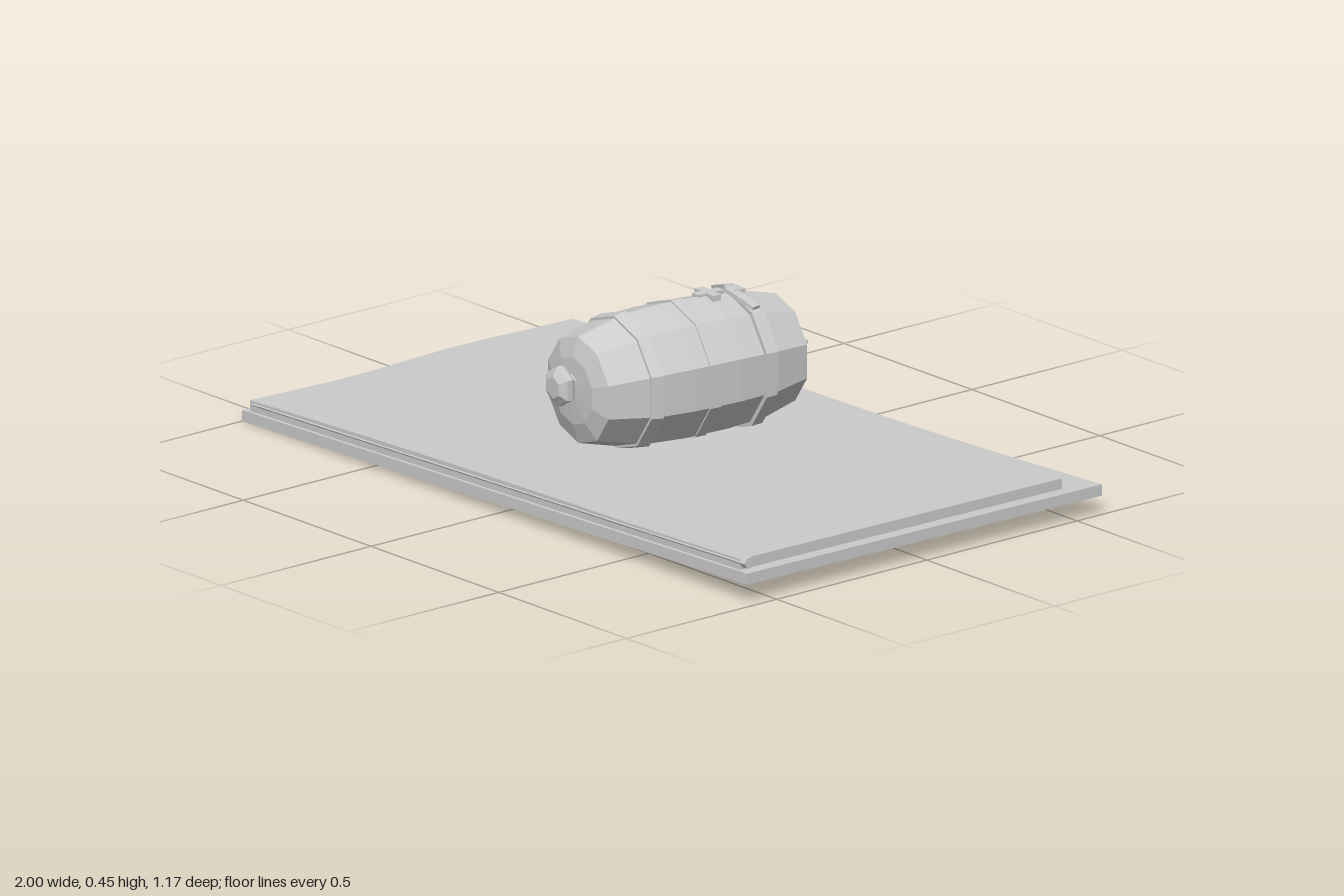
import * as THREE from 'three';

const material = new THREE.MeshStandardMaterial({ color: 0xcccccc, flatShading: true });
material.name = 'plain grey';

function add(parent, geometry, name, x = 0, y = 0, z = 0) {
  const mesh = new THREE.Mesh(geometry, material);
  mesh.name = name;
  mesh.position.set(x, y, z);
  parent.add(mesh);
  return mesh;
}

// Sloping slab with softly wandering edges; rule(x, z) lifts its top
function slab(x0, x1, z0, z1, base, thick, edge, rule) {
  const geometry = new THREE.BoxGeometry(1, 1, 1, 12, 1, 8);
  const p = geometry.attributes.position;
  for (let i = 0; i < p.count; i++) {
    const u = p.getX(i) + 0.5, v = p.getZ(i) + 0.5;
    let x = THREE.MathUtils.lerp(x0, x1, u);
    let z = THREE.MathUtils.lerp(z0, z1, v);
    if (u < 0.01) x += edge * (0.5 + 0.5 * Math.cos(v * 9));
    if (u > 0.99) x -= edge * v;
    if (v < 0.01) z += edge * (0.5 - 0.5 * Math.cos((u - 0.15) * 6));
    const top = p.getY(i) > 0;
    const y = 0.025 + 0.025 * x + base + (top ? thick + rule(x, z) : 0);
    p.setXYZ(i, x, Math.max(0, y), z);
  }
  return geometry;
}

// Ten-sided turned shape along z from [radius, z] pairs
function turned(pairs, sides = 10) {
  const points = pairs.map(([r, z]) => new THREE.Vector2(r, z));
  return new THREE.LatheGeometry(points, sides).rotateX(Math.PI / 2);
}

const profile = [[0, -0.335], [0.09, -0.327], [0.145, -0.305], [0.172, -0.2], [0.181, -0.08],
  [0.182, 0.06], [0.176, 0.17], [0.142, 0.305], [0.09, 0.322], [0, 0.328]];

function radiusAt(z) {
  const i = profile.findIndex((q) => q[1] > z);
  const [a, b] = [profile[i - 1], profile[i]];
  return THREE.MathUtils.lerp(a[0], b[0], (z - a[1]) / (b[1] - a[1]));
}

export function createModel() {
  const model = new THREE.Group();
  model.name = 'barrelOnSlab';

  // Two stacked ground layers and the rolled front edge
  add(model, slab(-1, 1, -0.59, 0.58, 0, 0.03, 0.022, () => 0), 'lowerSlab');
  add(model, slab(-0.98, 0.96, -0.49, 0.57, 0.028, 0.002, 0.02,
    (x, z) => 0.028 + 0.009 * Math.max(0, Math.cos((x + 0.25) * 2)) * (1 - 0.4 * (z + 0.5))), 'upperSlab');
  const lip = add(model, new THREE.CylinderGeometry(0.015, 0.015, 1.93, 6).rotateZ(Math.PI / 2),
    'frontLip', -0.005, 0.074, 0.557);
  lip.rotation.z = 0.025;

  // Barrel lying on its side, turned slightly
  const barrel = new THREE.Group();
  barrel.name = 'barrel';
  barrel.position.set(-0.003, 0.259, -0.022);
  barrel.rotation.y = -0.1;
  model.add(barrel);
  add(barrel, turned(profile), 'barrelBody');

  // Hoops
  for (const [z, half, lift] of [[0.178, 0.017, 0.007], [0.003, 0.016, 0.004], [-0.17, 0.017, 0.012]]) {
    const a = radiusAt(z - half), b = radiusAt(z + half);
    add(barrel, turned([[a - 0.01, z - half], [a + lift, z - half],
      [b + lift, z + half], [b - 0.01, z + half]]), 'hoop');
  }

  // Six-sided stopper on the front end
  add(barrel, turned([[0.026, 0.31], [0.026, 0.345], [0.048, 0.345], [0.054, 0.355],
    [0.054, 0.37], [0.03, 0.384], [0, 0.384]], 6), 'stopper', 0, 0.02, 0);

  // Narrow slot strip on the back end
  add(barrel, new THREE.BoxGeometry(0.19, 0.009, 0.012), 'backSlot', 0, 0.035, -0.331);

  // Cross on the top
  const cross = new THREE.Group();
  cross.name = 'cross';
  cross.position.set(-0.008, 0.178, -0.1);
  barrel.add(cross);
  add(cross, new THREE.BoxGeometry(0.026, 0.016, 0.08), 'crossBar');
  add(cross, new THREE.BoxGeometry(0.08, 0.016, 0.026), 'crossBar');

  // Knotted strap ends over the rear hoop
  for (const s of [-1, 1]) {
    const strap = add(barrel, new THREE.BoxGeometry(0.1, 0.012, 0.026), 'strapEnd',
      s * 0.055, 0.172, -0.17 + s * 0.008);
    strap.rotation.set(0, s * 0.25, -s * 0.32);
  }
  add(barrel, new THREE.BoxGeometry(0.04, 0.016, 0.034), 'strapKnot', 0.01, 0.18, -0.172);

  return model;
}
